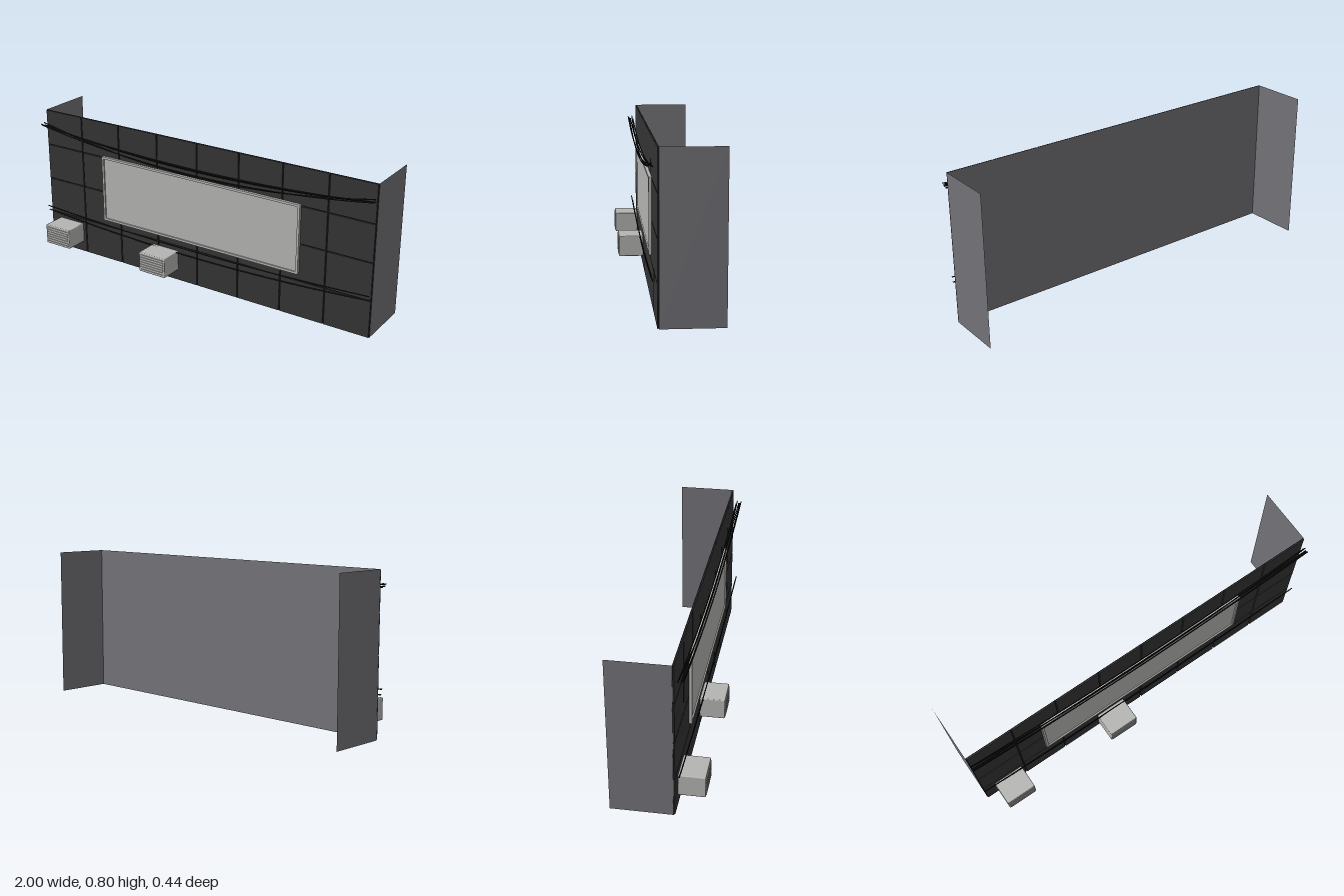
import * as THREE from 'three';
import { RoundedBoxGeometry } from 'three/addons/geometries/RoundedBoxGeometry.js';

function mat(name, color, side = THREE.FrontSide) {
  const m = new THREE.MeshStandardMaterial({ color, side });
  m.name = name;
  return m;
}

export function createModel() {
  const root = new THREE.Group();
  root.name = 'buildingFacade';

  const wallGrey = mat('wallGrey', 0x737378, THREE.DoubleSide);
  const tileDark = mat('tileDark', 0x343434);
  const jointBlack = mat('jointBlack', 0x1a1a1a);
  const paleGrey = mat('paleGrey', 0xb4b4b2);
  const cableBlack = mat('cableBlack', 0x111111);

  function add(parent, name, geometry, material, x = 0, y = 0, z = 0) {
    const mesh = new THREE.Mesh(geometry, material);
    mesh.name = name;
    mesh.position.set(x, y, z);
    parent.add(mesh);
    return mesh;
  }

  // Thin sheet walls: the facade backing and two returns, open behind
  add(root, 'backingWall', new THREE.PlaneGeometry(2, 0.8), wallGrey, 0, 0.4, 0.079);
  for (const s of [-1, 1]) {
    const side = add(root, s > 0 ? 'leftWall' : 'rightWall',
      new THREE.PlaneGeometry(0.3, 0.8), wallGrey, s * 0.999, 0.4, -0.07);
    side.rotation.y = s * Math.PI / 2;
  }
  add(root, 'tileJoints', new THREE.PlaneGeometry(2, 0.8), jointBlack, 0, 0.4, 0.0805);

  // Cladding tiles, eight across and four up, with narrow joints
  const tiles = new THREE.Group();
  tiles.name = 'claddingTiles';
  root.add(tiles);
  const tileGeometry = new THREE.BoxGeometry(0.243, 0.195, 0.006);
  for (let i = 0; i < 8; i++) {
    for (let j = 0; j < 4; j++) {
      add(tiles, 'tile', tileGeometry, tileDark, -0.875 + i * 0.25, 0.1 + j * 0.2, 0.084);
    }
  }

  // Blank sign board: raised rim around a recessed face
  const sign = new THREE.Group();
  sign.name = 'signBoard';
  sign.position.set(0, 0.425, 0.087);
  root.add(sign);
  const rect = (T, w, h) => new T([
    new THREE.Vector2(-w, -h), new THREE.Vector2(w, -h),
    new THREE.Vector2(w, h), new THREE.Vector2(-w, h)]);
  const rim = rect(THREE.Shape, 0.606, 0.185);
  rim.holes.push(rect(THREE.Path, 0.594, 0.173));
  add(sign, 'signRim', new THREE.ExtrudeGeometry(rim, { depth: 0.015, bevelEnabled: false }), paleGrey);
  add(sign, 'signFace', new THREE.BoxGeometry(1.19, 0.348, 0.008), paleGrey, 0, 0, 0.004);

  // Air conditioning units with horizontal louvres
  const body = new RoundedBoxGeometry(0.165, 0.11, 0.13, 2, 0.005);
  const louvre = new THREE.BoxGeometry(0.15, 0.006, 0.004);
  for (const x of [-0.85, -0.2]) {
    const unit = new THREE.Group();
    unit.name = 'airConditioner';
    unit.position.set(x, 0.12, 0.153);
    root.add(unit);
    add(unit, 'casing', body, paleGrey);
    for (let k = -3; k <= 3; k++) add(unit, 'louvre', louvre, paleGrey, 0, k * 0.0138, 0.0665);
  }

  // Sagging cables: [z, height at ends, height at middle]
  const cables = [
    [0.131, 0.728, 0.669], [0.123, 0.72, 0.639], [0.117, 0.718, 0.669],
    [0.109, 0.732, 0.625], [0.102, 0.715, 0.652],
    [0.113, 0.238, 0.209], [0.106, 0.213, 0.17],
  ];
  for (const [z, end, mid] of cables) {
    const points = [];
    for (let i = 0; i <= 16; i++) {
      const x = -1 + i / 8;
      points.push(new THREE.Vector3(x, mid + (end - mid) * x * x, z));
    }
    add(root, 'cable', new THREE.TubeGeometry(
      new THREE.CatmullRomCurve3(points), 40, 0.003, 6), cableBlack);
  }

  return root;
}
